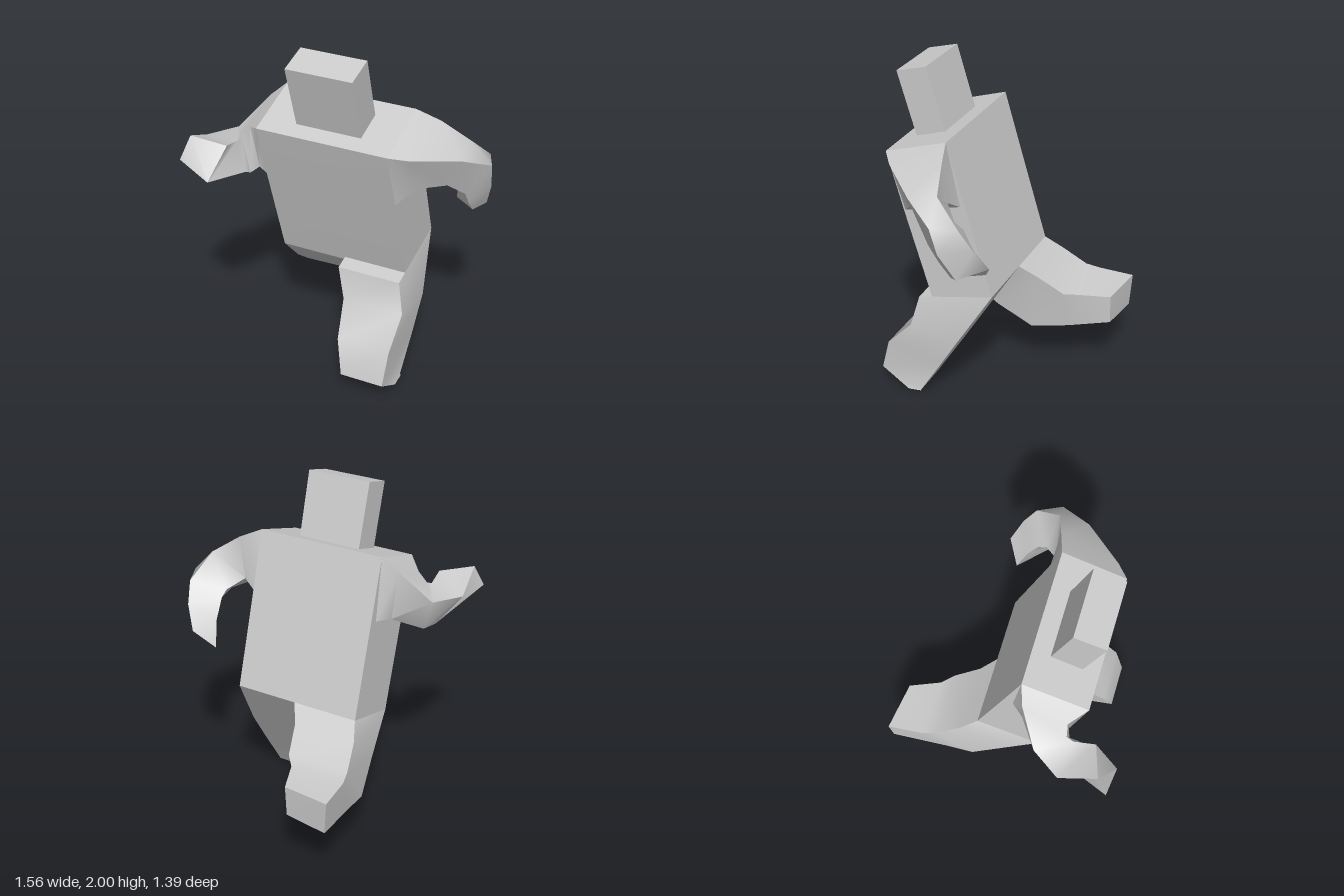
import * as THREE from 'three';
import { toCreasedNormals } from 'three/addons/utils/BufferGeometryUtils.js';

const material = new THREE.MeshStandardMaterial({ color: 0xcccccc, side: THREE.DoubleSide });

// Skin a closed body over a list of cross-sections (each a loop of [x, y, z]).
function loft(name, rings, crease = 0.7) {
  const tris = [];
  const n = rings[0].length;
  for (let r = 0; r < rings.length - 1; r++) {
    for (let i = 0; i < n; i++) {
      const j = (i + 1) % n;
      const a = rings[r][i], b = rings[r][j], c = rings[r + 1][j], d = rings[r + 1][i];
      tris.push([a, b, c], [a, c, d]);
    }
  }
  const first = rings[0], last = rings[rings.length - 1];
  for (let i = 1; i < n - 1; i++) {
    tris.push([first[0], first[i + 1], first[i]], [last[0], last[i], last[i + 1]]);
  }
  // A negative volume means the corners run the wrong way round.
  const v = (p) => new THREE.Vector3(...p);
  const volume = tris.reduce((s, [a, b, c]) => s + v(a).dot(v(b).cross(v(c))), 0);
  if (volume < 0) tris.forEach((t) => t.reverse());
  const geometry = new THREE.BufferGeometry();
  geometry.setAttribute('position', new THREE.Float32BufferAttribute(tris.flat(2), 3));
  const mesh = new THREE.Mesh(toCreasedNormals(geometry, crease), material);
  mesh.name = name;
  return mesh;
}

// Four-cornered section: x range, then front and back edges as [y, z].
const section = (x0, x1, [fy, fz], [by, bz]) => [
  [x1, fy, fz], [x0, fy, fz], [x0, by, bz], [x1, by, bz],
];

export function createModel() {
  const group = new THREE.Group();

  // Leaning torso, with a shallow slope at the top
  group.add(loft('torso', [
    section(-0.41, 0.37, [1.55, 0.47], [1.67, 0.10]),
    section(-0.41, 0.37, [1.21, 0.37], [1.30, -0.01]),
    section(-0.41, 0.37, [0.66, 0.20], [0.77, -0.17]),
  ]));

  // Block head sunk into the torso
  group.add(loft('head', [
    section(-0.21, 0.18, [1.95, 0.49], [2.00, 0.31]),
    section(-0.21, 0.175, [1.55, 0.37], [1.60, 0.19]),
  ]));

  // Left leg striding forward
  group.add(loft('leftLeg', [
    section(-0.01, 0.37, [0.66, 0.29], [0.77, -0.17]),
    section(0.04, 0.41, [0.48, 0.33], [0.44, 0.03]),
    section(0.08, 0.40, [0.31, 0.49], [0.24, 0.15]),
    section(0.125, 0.385, [0.11, 0.545], [0.02, 0.285]),
    section(0.14, 0.39, [0.0, 0.37], [0.01, 0.29]),
  ]));

  // Right leg kicked out behind
  group.add(loft('rightLeg', [
    section(-0.41, -0.01, [0.66, 0.20], [0.77, -0.17]),
    [[-0.06, 0.45, -0.01], [-0.44, 0.45, -0.01], [-0.46, 0.69, -0.27], [-0.07, 0.69, -0.26]],
    [[-0.10, 0.32, -0.22], [-0.48, 0.30, -0.20], [-0.50, 0.59, -0.41], [-0.12, 0.58, -0.41]],
    [[-0.18, 0.33, -0.42], [-0.49, 0.32, -0.36], [-0.52, 0.57, -0.49], [-0.18, 0.56, -0.48]],
    [[-0.26, 0.37, -0.66], [-0.52, 0.36, -0.69], [-0.535, 0.56, -0.70], [-0.25, 0.55, -0.66]],
  ]));

  // Left arm bent backward; corners: top back, top front, low front, low back
  group.add(loft('leftArm', [
    [[0.37, 1.67, 0.10], [0.37, 1.55, 0.47], [0.37, 1.21, 0.36], [0.37, 1.30, 0.02]],
    [[0.50, 1.61, 0.06], [0.46, 1.52, 0.40], [0.46, 1.29, 0.28], [0.46, 1.36, 0.05]],
    [[0.66, 1.50, 0.01], [0.67, 1.46, 0.18], [0.58, 1.27, 0.14], [0.54, 1.30, -0.03]],
    [[0.72, 1.36, -0.14], [0.78, 1.37, 0.00], [0.66, 1.20, 0.07], [0.54, 1.27, -0.08]],
    [[0.69, 1.24, -0.21], [0.77, 1.22, -0.04], [0.66, 1.11, 0.01], [0.54, 1.15, -0.14]],
    [[0.62, 1.11, -0.27], [0.72, 1.06, -0.12], [0.66, 1.03, -0.06], [0.51, 1.00, -0.20]],
  ], 0.9));

  // Right arm swung forward, same corner order
  group.add(loft('rightArm', [
    [[-0.41, 1.67, 0.10], [-0.41, 1.55, 0.47], [-0.41, 1.21, 0.36], [-0.41, 1.30, 0.05]],
    [[-0.50, 1.59, 0.13], [-0.50, 1.50, 0.38], [-0.45, 1.26, 0.38], [-0.47, 1.30, 0.12]],
    [[-0.66, 1.40, 0.24], [-0.55, 1.44, 0.39], [-0.50, 1.22, 0.40], [-0.60, 1.21, 0.27]],
    [[-0.77, 1.40, 0.40], [-0.56, 1.42, 0.43], [-0.50, 1.25, 0.45], [-0.62, 1.20, 0.38]],
    [[-0.74, 1.50, 0.61], [-0.55, 1.45, 0.55], [-0.60, 1.28, 0.69], [-0.78, 1.37, 0.67]],
  ], 0.9));

  return group;
}
